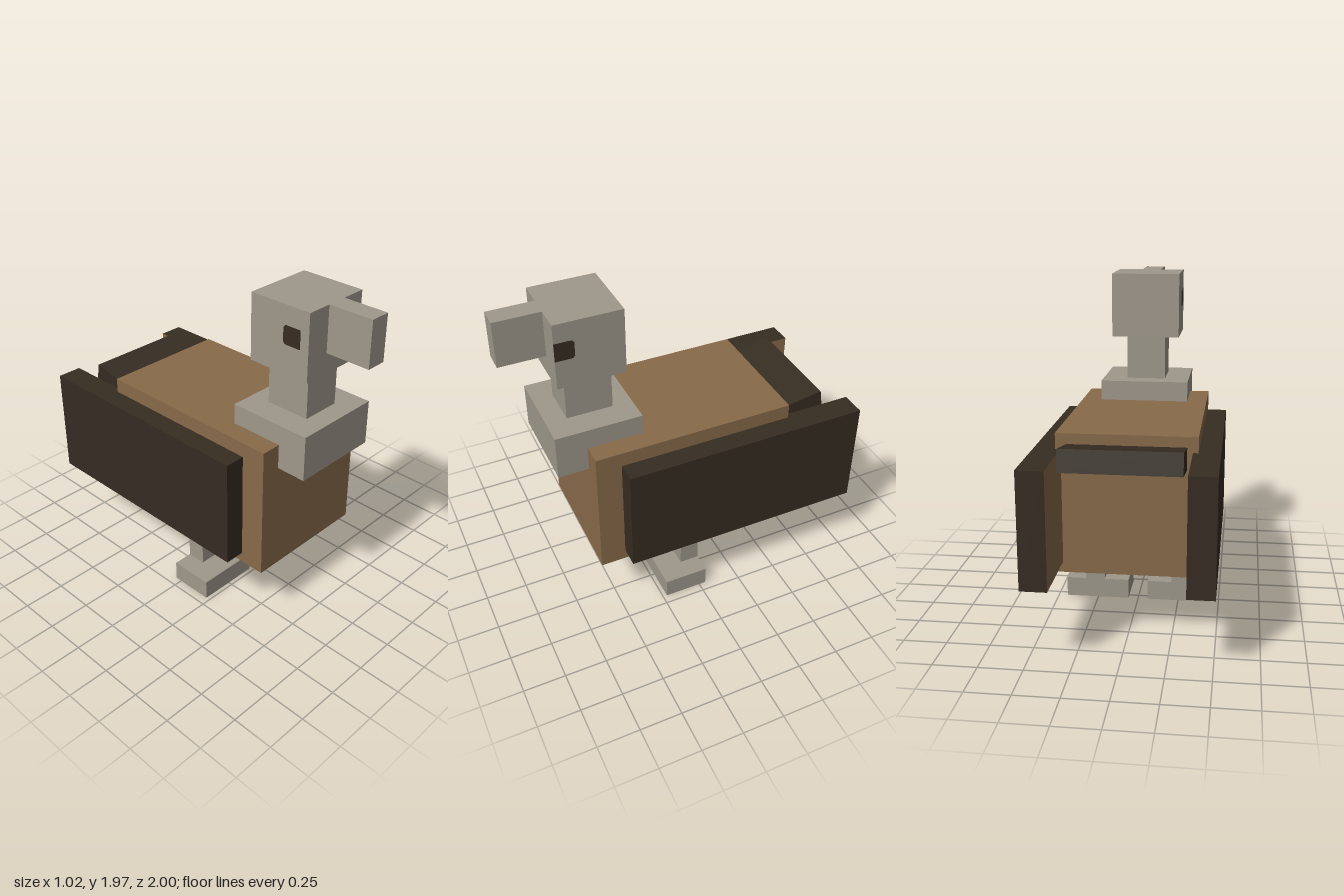
import * as THREE from 'three';

export function createModel() {
  const material = (name, color) => {
    const m = new THREE.MeshStandardMaterial({ color });
    m.name = name;
    return m;
  };
  const grey = material('bare grey skin', 0x9f988b);
  const brown = material('brown plumage', 0x886a4a);
  const dark = material('dark feathers', 0x362c22);

  const model = new THREE.Group();
  model.name = 'blockyBird';

  // Box given by its extents along each axis
  const box = (name, mat, [x0, x1], [y0, y1], [z0, z1], parent = model) => {
    const mesh = new THREE.Mesh(new THREE.BoxGeometry(x1 - x0, y1 - y0, z1 - z0), mat);
    mesh.position.set((x0 + x1) / 2, (y0 + y1) / 2, (z0 + z1) / 2);
    mesh.name = name;
    parent.add(mesh);
    return mesh;
  };

  box('body', brown, [-0.388, 0.388], [0.39, 1.193], [-0.58, 0.615]);
  box('collar', grey, [-0.269, 0.269], [1.047, 1.313], [0.287, 0.793]);
  box('neck', grey, [-0.119, 0.119], [1.313, 1.583], [0.403, 0.673]);

  // Head with beak flush with the crown
  const head = new THREE.Group();
  head.name = 'head';
  model.add(head);
  box('skull', grey, [-0.207, 0.207], [1.583, 1.969], [0.347, 0.735], head);
  box('beak', grey, [-0.06, 0.06], [1.702, 1.969], [0.735, 1], head);

  // Eyes: thin plates with clipped rear corners, the right one set further back
  const eyeShape = new THREE.Shape([
    [0.055, -0.053], [0.055, 0.053], [-0.042, 0.053],
    [-0.055, 0.04], [-0.055, -0.04], [-0.042, -0.053],
  ].map(([z, y]) => new THREE.Vector2(-z, y)));
  const eyeGeometry = new THREE.ExtrudeGeometry(eyeShape, { depth: 0.006, bevelEnabled: false });
  eyeGeometry.translate(0, 0, -0.003);
  eyeGeometry.rotateY(Math.PI / 2);
  for (const [name, x, z] of [['leftEye', 0.207, 0.68], ['rightEye', -0.207, 0.625]]) {
    const eye = new THREE.Mesh(eyeGeometry, dark);
    eye.position.set(x, 1.806, z);
    eye.name = name;
    head.add(eye);
  }

  // Tail: slab tilted up towards the back
  const tail = new THREE.Mesh(new THREE.BoxGeometry(0.654, 0.125, 0.3), dark);
  tail.geometry.translate(0, -0.0625, 0.15);
  tail.position.set(0, 1.177, -0.833);
  tail.rotation.x = 0.17;
  tail.name = 'tail';
  model.add(tail);

  for (const s of [1, -1]) {
    const side = s > 0 ? 'left' : 'right';
    const span = (a, b) => (s > 0 ? [a, b] : [-b, -a]);

    // Wing with a brown inner face
    const faces = Array(6).fill(dark);
    faces[s > 0 ? 1 : 0] = brown;
    box(side + 'Wing', faces, span(0.358, 0.508), [0.452, 1.105], [-1, 0.466]);

    // Leg and foot
    box(side + 'Leg', grey, span(0.209, 0.327), [0.12, 0.39], [-0.042, 0.075]);
    box(side + 'Foot', grey, span(0.06, 0.446), [0, 0.12], [-0.042, 0.225]);
  }

  return model;
}
